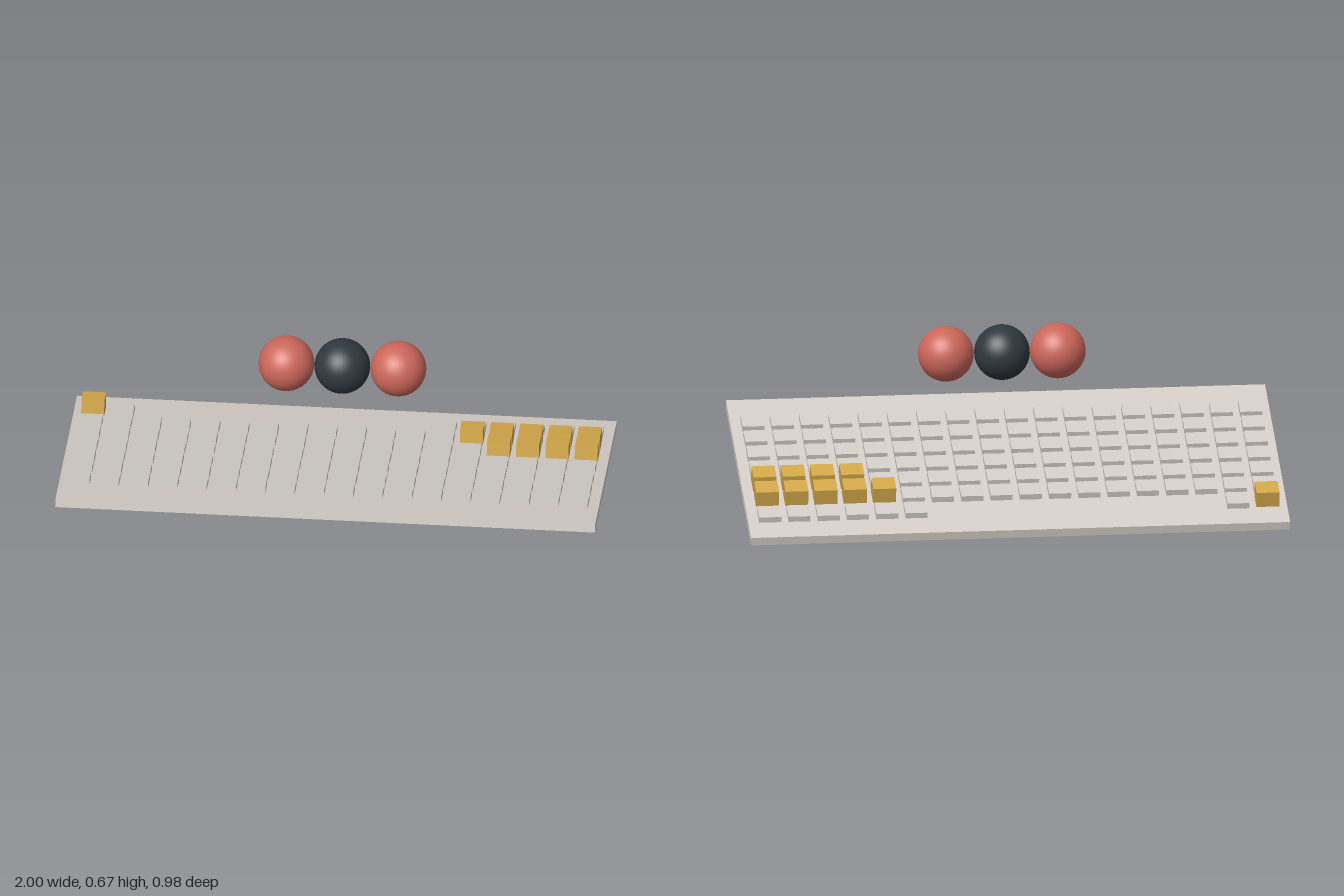
import * as THREE from 'three';

export function createModel() {
  const model = new THREE.Group();
  model.name = 'keyboardWithBalls';

  const material = (name, color) => {
    const m = new THREE.MeshStandardMaterial({ color });
    m.name = name;
    return m;
  };
  const boardGrey = material('board grey', 0xd6cfc8);
  const keyGrey = material('key grey', 0xd3cec8);
  const gold = material('gold', 0xd4a94b);
  const red = material('red', 0xcb665a);
  const charcoal = material('charcoal', 0x2f383f);

  const add = (parent, name, geometry, mat, x, y, z) => {
    const mesh = new THREE.Mesh(geometry, mat);
    mesh.name = name;
    mesh.position.set(x, y, z);
    parent.add(mesh);
  };

  // Sloping keyboard, raised at the front
  const keyboard = new THREE.Group();
  keyboard.name = 'keyboard';
  keyboard.position.y = 0.125;
  keyboard.rotation.x = -0.2195;
  model.add(keyboard);

  const thickness = 0.032;
  add(keyboard, 'board', new THREE.BoxGeometry(2, thickness, 1), boardGrey, 0, 0, 0);

  // Keys: row 0 is at the back, column 0 at -x
  const flatKey = new THREE.BoxGeometry(0.082, 0.022, 0.083);
  const tallKey = new THREE.BoxGeometry(0.085, 0.06, 0.083);
  const columns = 18;
  const rows = 7;
  const isGap = (r, c) => r === 0 && c > 1 && c < 12;
  const isTall = (r, c) =>
    (r === 0 && c === 0) || (r === 1 && c >= 13) || (r === 2 && c >= 14);

  for (let r = 0; r < rows; r++) {
    for (let c = 0; c < columns; c++) {
      if (isGap(r, c)) continue;
      const x = -0.927 + c * 0.1086;
      const z = -0.35 + r * 0.11;
      const top = thickness / 2;
      if (isTall(r, c)) add(keyboard, 'raisedKey', tallKey, gold, x, top + 0.034, z);
      else add(keyboard, 'key', flatKey, keyGrey, x, top + 0.011, z);
    }
  }

  // Row of three floating balls
  const ball = new THREE.SphereGeometry(0.103, 40, 28);
  add(model, 'rightBall', ball, red, -0.184, 0.566, -0.006);
  add(model, 'middleBall', ball, charcoal, 0.023, 0.566, -0.006);
  add(model, 'leftBall', ball, red, 0.231, 0.566, -0.006);

  return model;
}
